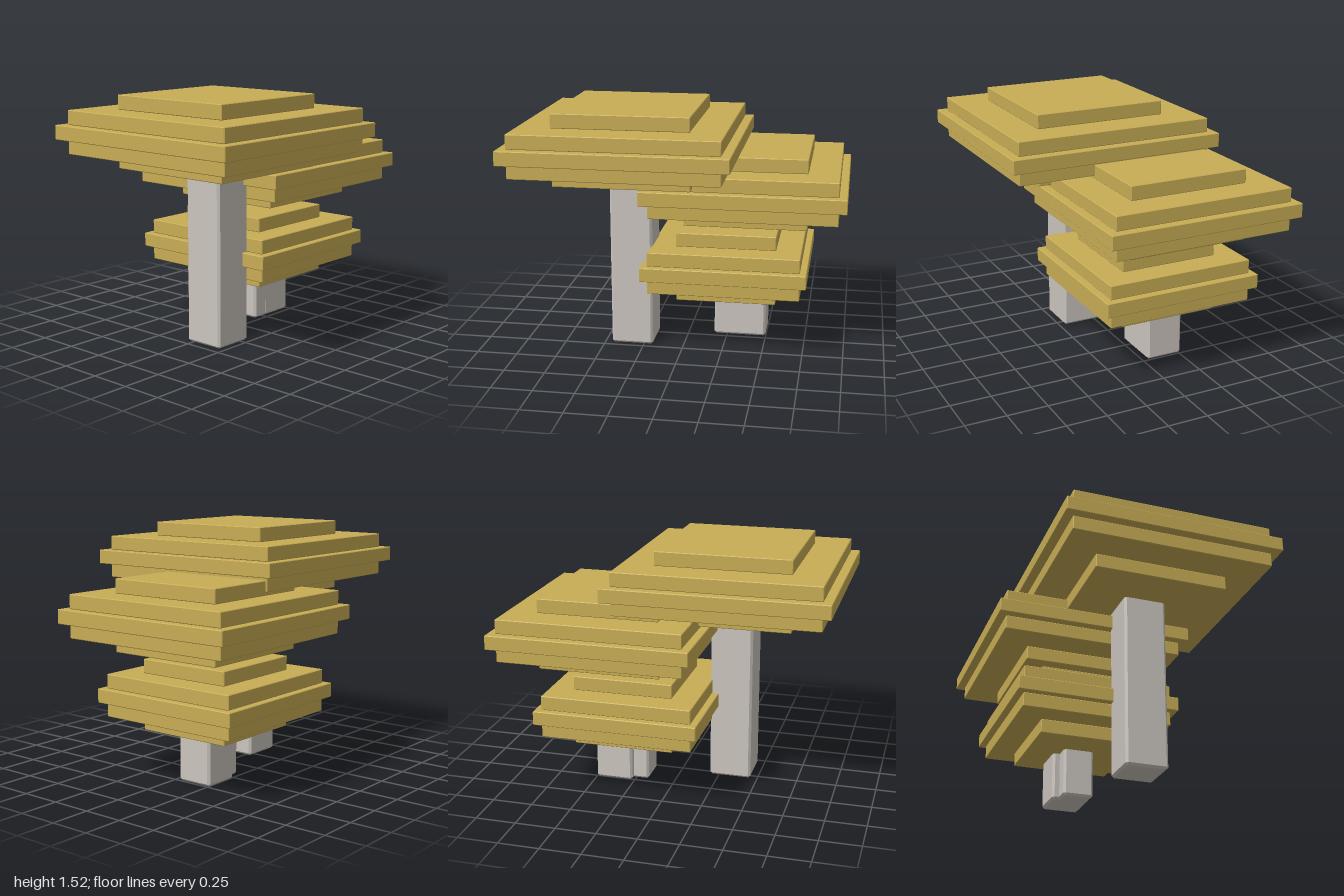
import * as THREE from 'three';
import { ConvexGeometry } from 'three/addons/geometries/ConvexGeometry.js';

// Box with every edge cut by a flat chamfer c
function chamferBox(w, h, d, c) {
  const points = [];
  for (const sx of [-1, 1]) for (const sy of [-1, 1]) for (const sz of [-1, 1]) {
    for (let axis = 0; axis < 3; axis++) {
      const cut = [0, 1, 2].map((i) => (i === axis ? 0 : c));
      points.push(new THREE.Vector3(
        sx * (w / 2 - cut[0]), sy * (h / 2 - cut[1]), sz * (d / 2 - cut[2])));
    }
  }
  return new ConvexGeometry(points);
}

export function createModel() {
  const model = new THREE.Group();
  model.name = 'steppedTrees';

  const foliage = new THREE.MeshStandardMaterial({ color: 0xc8ad55 });
  foliage.name = 'golden foliage';
  const bark = new THREE.MeshStandardMaterial({ color: 0xcbc5be });
  bark.name = 'pale grey bark';

  const layerHeight = 0.0877;
  const layerScales = [0.612, 0.92, 1, 0.92, 0.612];

  // Square trunk carrying a crown of five stacked slabs
  function addTree(name, x, z, crownBase, crownWidth, trunkWidth) {
    const tree = new THREE.Group();
    tree.name = name;
    tree.position.set(x, 0, z);

    const trunkHeight = crownBase + layerHeight * 1.5;
    const trunk = new THREE.Mesh(chamferBox(trunkWidth, trunkHeight, trunkWidth, 0.014), bark);
    trunk.name = 'trunk';
    trunk.position.y = trunkHeight / 2;
    tree.add(trunk);

    layerScales.forEach((scale, i) => {
      const width = crownWidth * scale;
      const layer = new THREE.Mesh(chamferBox(width, layerHeight, width, 0.004), foliage);
      layer.name = 'crownLayer' + (i + 1);
      layer.position.y = crownBase + layerHeight * (i + 0.5);
      tree.add(layer);
    });
    model.add(tree);
  }

  addTree('tallTree', -0.324, 0.087, 1.08, 1.348, 0.263);
  addTree('middleTree', 0.381, -0.146, 0.797, 1.228, 0.234);
  addTree('shortTree', 0.262, -0.125, 0.297, 1.012, 0.19);

  return model;
}
